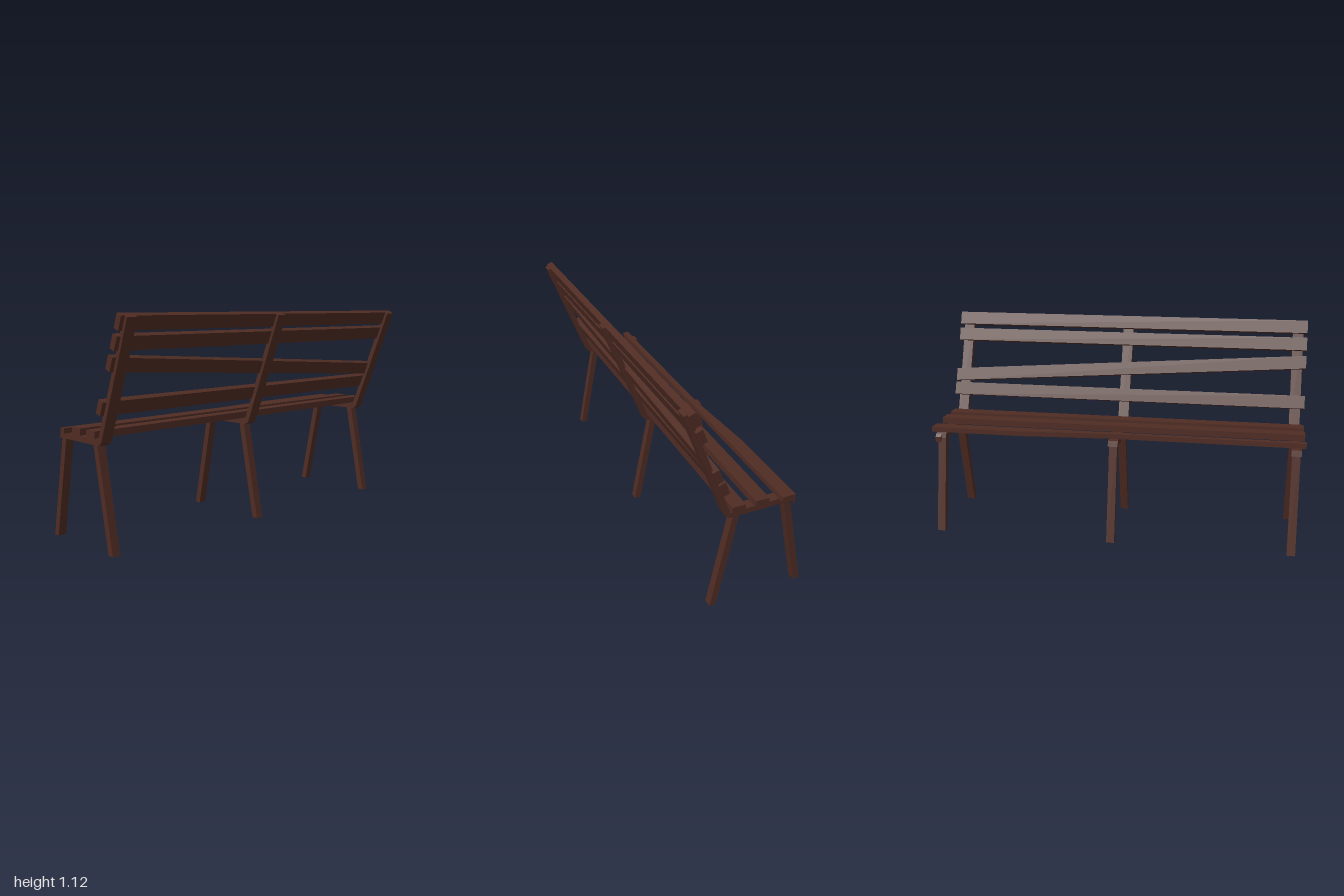
import * as THREE from 'three';

export function createModel() {
  const bench = new THREE.Group();
  bench.name = 'bench';
  const wood = new THREE.MeshStandardMaterial({ color: 0x4f2c23 });
  wood.name = 'dark brown wood';

  const add = (name, geometry, parent = bench) => {
    const mesh = new THREE.Mesh(geometry, wood);
    mesh.name = name;
    parent.add(mesh);
    return mesh;
  };
  // Side outline in x/y, given a thickness along z and centred on z = 0
  const plank = (points, depth) => {
    const shape = new THREE.Shape(points.map(([x, y]) => new THREE.Vector2(x, y)));
    return new THREE.ExtrudeGeometry(shape, { depth, bevelEnabled: false }).translate(0, 0, -depth / 2);
  };

  // Three support frames: splayed legs, seat rail and leaning back post
  for (const z of [-0.945, 0.004, 0.95]) {
    const frame = new THREE.Group();
    frame.name = 'supportFrame';
    frame.position.z = z;
    bench.add(frame);
    add('frontLeg', plank([[-0.334, 0], [-0.3, 0], [-0.197, 0.52], [-0.231, 0.52]], 0.043), frame);
    add('rearLeg', plank([[0.139, 0], [0.173, 0], [0.069, 0.52], [0.035, 0.52]], 0.043), frame);
    add('seatRail', plank([[-0.247, 0.511], [0.09, 0.511], [0.11, 0.526], [0.09, 0.541], [-0.238, 0.541]], 0.053), frame);
    add('backPost', plank([[0.084, 0.513], [0.111, 0.525], [0.331, 1.102], [0.306, 1.112], [0.088, 0.541]], 0.057), frame);
  }

  // Splintered tip hanging from the end of one rail
  add('railSplinter', plank([[-0.257, 0.487], [-0.238, 0.511], [-0.238, 0.535], [-0.257, 0.517]], 0.03))
    .position.z = -0.96;

  // Two whole seat slats
  for (const x of [-0.066, 0.055]) {
    add('seatSlat', new THREE.BoxGeometry(0.07, 0.034, 1.99)).position.set(x, 0.565, 0.003);
  }

  // Front seat slat, split so that it narrows along half its length
  const split = new THREE.Shape([
    [-0.238, 1], [-0.238, 0.5], [-0.203, 0.02], [-0.203, -1], [-0.169, -1], [-0.169, 1],
  ].map(([x, y]) => new THREE.Vector2(x, y)));
  add('splitFrontSlat', new THREE.ExtrudeGeometry(split, { depth: 0.026, bevelEnabled: false })
    .rotateX(-Math.PI / 2)).position.y = 0.541;

  // Back slats: centre x and y at the near (+z) and far (-z) ends
  const backSlats = [
    [0.288, 1.082, 0.288, 1.082],
    [0.254, 0.993, 0.254, 0.993],
    [0.217, 0.9, 0.167, 0.769], // slipped down at one end
    [0.134, 0.695, 0.134, 0.695],
  ];
  for (const [x1, y1, x2, y2] of backSlats) {
    const geometry = new THREE.BoxGeometry(0.034, 0.07, 1.99).rotateZ(-0.365);
    const p = geometry.attributes.position;
    for (let i = 0; i < p.count; i++) {
      const near = p.getZ(i) > 0;
      p.setX(i, p.getX(i) + (near ? x1 : x2));
      p.setY(i, p.getY(i) + (near ? y1 : y2));
    }
    geometry.computeVertexNormals();
    add('backSlat', geometry).position.z = 0.004;
  }
  return bench;
}
